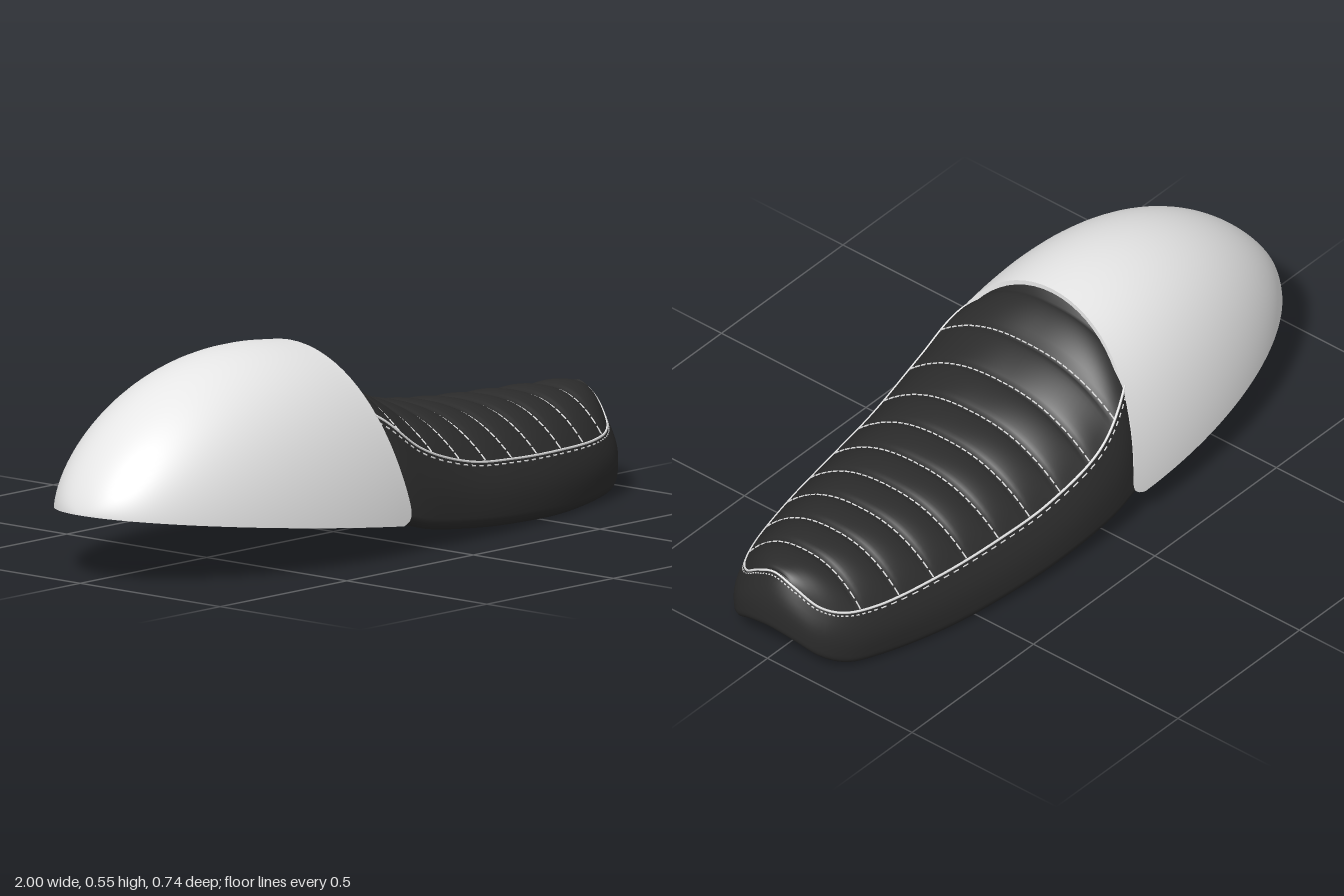
import * as THREE from 'three';
import { mergeGeometries } from 'three/addons/utils/BufferGeometryUtils.js';

const V = (x, y, z) => new THREE.Vector3(x, y, z);
const paint = (name, color) => {
  const m = new THREE.MeshStandardMaterial({ color, side: THREE.DoubleSide });
  m.name = name;
  return m;
};

// Smooth surface through the points f(a, b), a from us and b from vs
function surface(us, vs, f) {
  const pos = [], idx = [], n = vs.length;
  us.forEach((u, i) => vs.forEach((v, j) => {
    pos.push(...f(u, v).toArray());
    if (i && j) {
      const d = i * n + j, c = d - 1, b = d - n, a = b - 1;
      idx.push(a, c, b, b, c, d);
    }
  }));
  const g = new THREE.BufferGeometry();
  g.setAttribute('position', new THREE.Float32BufferAttribute(pos, 3));
  g.setIndex(idx);
  g.computeVertexNormals();
  return g;
}
const steps = (n, a = 0, b = 1) => Array.from({ length: n + 1 }, (_, i) => a + (b - a) * i / n);

// U-shaped outline: one side to the nose, mirrored back along the other
function outline(half) {
  const pts = half.map(p => V(...p));
  const back = pts.slice(0, -1).reverse().map(p => V(p.x, p.y, -p.z));
  return new THREE.CatmullRomCurve3([...pts, ...back]);
}
const welt = outline([[-.24, .43, .21], [-.12, .355, .285], [0, .265, .312], [.2, .2, .304],
  [.4, .178, .285], [.6, .168, .258], [.8, .164, .212], [.89, .172, .17], [.935, .195, .125],
  [.962, .245, .06], [.968, .27, 0]]);
const base = outline([[-.14, .115, .352], [-.08, .1, .357], [0, .08, .362], [.2, .055, .355],
  [.4, .04, .332], [.6, .031, .295], [.8, .034, .238], [.9, .043, .195], [.96, .073, .145],
  [.99, .109, .08], [1, .125, 0]]);

// Ribs of the pad
const RIB0 = -.07, PITCH = .1145;
function weltAt(x) {
  let a = 0, b = .5;
  for (let i = 0; i < 40; i++) {
    const m = (a + b) / 2;
    if (welt.getPoint(m).x < x) a = m; else b = m;
  }
  return a;
}
function padPoint(t, v) {
  const p = welt.getPoint(t), e = Math.abs(v), d = p.x - RIB0;
  const crown = d < 0 ? .42 - .57 * d : .267 + .153 * Math.exp(-d / .245);
  const rib = .015 * Math.sqrt(Math.abs(Math.sin(Math.PI * d / PITCH)));
  const y = p.y + Math.max(crown - p.y, 0) * (1 - e ** 2.4) + rib * (1 - e ** 6);
  return V(p.x, y, p.z * v);
}

// Side wall, rounded lower edge and arched underside, v from welt to spine
function wallPoint(t, v) {
  const b = base.getPoint(t), tan = base.getTangent(t);
  const out = V(-tan.z, 0, tan.x).normalize();
  if (v <= .5) {
    const k = v / .5;
    return welt.getPoint(t).lerp(b, k).addScaledVector(out, .012 * Math.sin(Math.PI * k));
  }
  const spine = .097 + .02 * Math.sin(Math.PI * (b.x + .14) / 1.14);
  const a = Math.min((v - .5) / .2, 1) * Math.PI / 2;
  b.addScaledVector(out, -.024 * (1 - Math.cos(a)));
  b.y -= .03 * Math.sin(a);
  if (v > .7) {
    const k = (v - .7) / .3;
    b.z *= 1 - k;
    b.y += (spine - b.y) * k * k * (3 - 2 * k);
  }
  return b;
}

// Tail cowl: a runs over the arch, u from tail to front edge, inset gives the inner skin
function cowlPoint(a, u, inset) {
  const s = Math.sin(a), tail = -1 + inset;
  const end = -.073 - .1 * s - .05 * Math.exp(-s * 30);
  const x = tail + (end - tail) * u * u;
  const w = Math.max(0, .37 * Math.sqrt(Math.max(0, 1 - ((x + .25) / .75) ** 2)) - inset);
  const rise = 1 - Math.min(1, Math.abs(Math.min(x + .2, 0) / .8)) ** 2.2;
  const h = Math.max(0, .459 * rise ** .75 - inset);
  const low = .183 - .108 * (x + 1) / .9;
  return V(x, low + h * s, w * Math.cos(a) * (1 - .11 * s * (1 - s)));
}

export function createModel() {
  const black = paint('blackLeather', 0x2b2b2b);
  const silver = paint('silverPaint', 0xe6e6e6);
  const thread = paint('paleThread', 0xf0f0f0);
  const model = new THREE.Group();
  model.name = 'tailSeat';
  const add = (name, geo, mat) => {
    const m = new THREE.Mesh(geo, mat);
    m.name = name;
    model.add(m);
  };

  // Columns follow the ribs so that the grooves stay crisp
  const half = [0];
  for (let k = -14; k <= 88; k++) half.push(weltAt(RIB0 + k * PITCH / 10));
  half.push(...steps(10, half[half.length - 1], .5).slice(1));
  const full = [...half, ...half.slice(0, -1).reverse().map(t => 1 - t)];

  add('ribbedPad', surface(half, steps(32, -1, 1), padPoint), black);
  const rows = [...steps(8, 0, .5), ...steps(6, .5, .7).slice(1), ...steps(12, .7, 1).slice(1)];
  add('seatBody', surface(full, rows, wallPoint), black);

  // Back of the seat, inside the cowl
  add('seatBack', surface(steps(4), steps(32, -1, 1), (k, s) => {
    const p = wallPoint(0, 1 - .5 * Math.abs(s));
    p.z *= Math.sign(s);
    return p.lerp(padPoint(0, s), k);
  }), black);

  // Piping around the pad
  add('piping', new THREE.TubeGeometry(welt, 220, .0035, 6), thread);

  // Dashed seams in the grooves and below the piping
  const dashes = [];
  const dash = (a, b) => dashes.push(
    new THREE.TubeGeometry(new THREE.LineCurve3(a, b), 1, .0025, 4));
  for (let i = 0; i < 9; i++) {
    const t = weltAt(RIB0 + i * PITCH), n = Math.round(welt.getPoint(t).z * 100);
    for (let k = 0; k < n; k++) {
      const a = padPoint(t, -1 + 2 * (k + .12) / n), b = padPoint(t, -1 + 2 * (k + .88) / n);
      a.y += .002;
      b.y += .002;
      dash(a, b);
    }
  }
  for (let k = 0; k < 110; k++) {
    dash(wallPoint(.04 + .92 * (k + .2) / 110, .035), wallPoint(.04 + .92 * (k + .75) / 110, .035));
  }
  add('stitching', mergeGeometries(dashes), thread);

  // Cowl: outer and inner skins joined by a rim at the front and along the bottom
  const arch = steps(64).map(k => Math.PI * (k - Math.sin(2 * Math.PI * k) / (2 * Math.PI) * .8));
  const THICK = .013, along = steps(48), edge = [0, THICK];
  add('cowlOuter', surface(arch, along, (a, u) => cowlPoint(a, u, 0)), silver);
  add('cowlInner', surface(arch, along, (a, u) => cowlPoint(a, u, THICK)), silver);
  add('cowlRim', mergeGeometries([
    surface(arch, edge, (a, i) => cowlPoint(a, 1, i)),
    surface(along, edge, (u, i) => cowlPoint(0, u, i)),
    surface(along, edge, (u, i) => cowlPoint(Math.PI, u, i)),
  ]), silver);
  return model;
}
